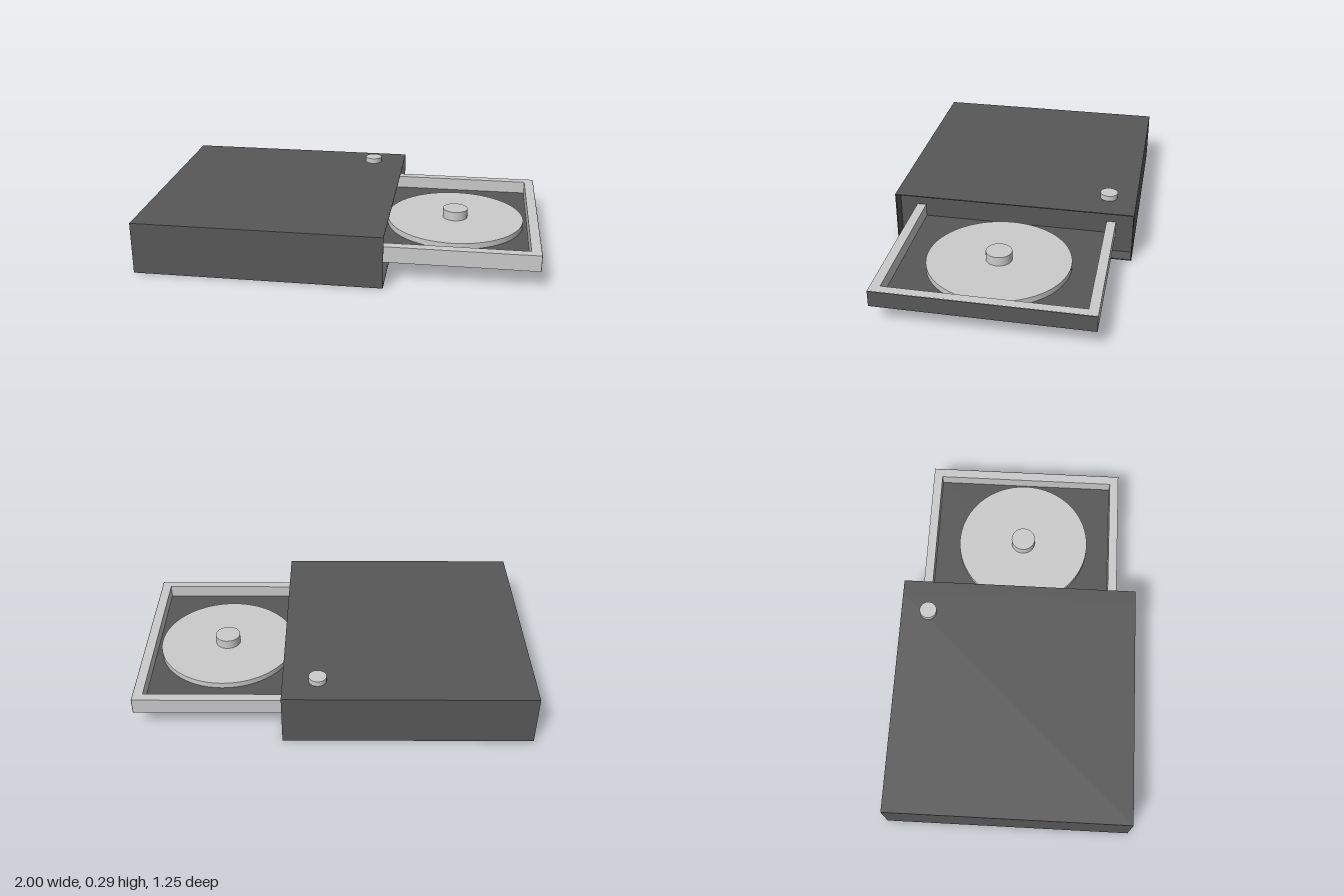
import * as THREE from 'three';

export function createModel() {
  const model = new THREE.Group();
  const grey = new THREE.MeshStandardMaterial({ color: 0xcccccc });
  const dark = new THREE.MeshStandardMaterial({ color: 0x585858 });

  const add = (parent, name, geometry, material, x, y, z) => {
    const mesh = new THREE.Mesh(geometry, material);
    mesh.name = name;
    mesh.position.set(x, y, z);
    parent.add(mesh);
  };

  // box given by its lower and upper corners
  const box = (parent, name, material, [x0, y0, z0], [x1, y1, z1]) =>
    add(parent, name, new THREE.BoxGeometry(x1 - x0, y1 - y0, z1 - z0), material,
      (x0 + x1) / 2, (y0 + y1) / 2, (z0 + z1) / 2);

  // upright cylinder standing on y0
  const disc = (parent, name, radius, y0, y1, x, z) =>
    add(parent, name, new THREE.CylinderGeometry(radius, radius, y1 - y0, 64), grey,
      x, (y0 + y1) / 2, z);

  // Housing with a recessed end panel and a thin collar around it
  const housing = new THREE.Group();
  housing.name = 'housing';
  model.add(housing);
  const H = 0.267, W = 0.625, panelX = 0.175, endX = 0.25, t = 0.005;
  box(housing, 'case', dark, [-1, 0, -W], [panelX, H, W]);
  box(housing, 'collarTop', dark, [panelX, H - t, -W], [endX, H, W]);
  box(housing, 'collarBottom', dark, [panelX, 0, -W], [endX, t, W]);
  for (const s of [-1, 1]) {
    add(housing, 'collarSide', new THREE.BoxGeometry(endX - panelX, H - 2 * t, t), dark,
      (panelX + endX) / 2, H / 2, s * (W - t / 2));
  }
  disc(housing, 'button', 0.045, H, 0.295, 0.075, -0.48);

  // Sliding tray: base, floor, raised rim and dark end plate
  const tray = new THREE.Group();
  tray.name = 'tray';
  model.add(tray);
  const y0 = 0.095, y1 = 0.178, w = 0.53, rim = 0.048, floorY = 0.112, plateX = 0.997;
  box(tray, 'trayBase', grey, [panelX, y0, -w], [plateX, floorY - 0.004, w]);
  box(tray, 'trayFloor', dark, [panelX, floorY - 0.004, rim - w], [0.95, floorY, w - rim]);
  for (const s of [-1, 1]) {
    add(tray, 'sideRim', new THREE.BoxGeometry(plateX - panelX, y1 - floorY + 0.004, rim), grey,
      (panelX + plateX) / 2, (y1 + floorY - 0.004) / 2, s * (w - rim / 2));
  }
  box(tray, 'endRim', grey, [0.95, floorY - 0.004, rim - w], [plateX, y1, w - rim]);
  box(tray, 'endPlate', dark, [plateX, y0, -w], [1, y1 - 0.001, w]);

  // Platter and spindle
  disc(tray, 'platter', 0.358, floorY, 0.142, 0.57, 0.003);
  disc(tray, 'spindle', 0.065, 0.142, 0.19, 0.57, 0.003);

  return model;
}
